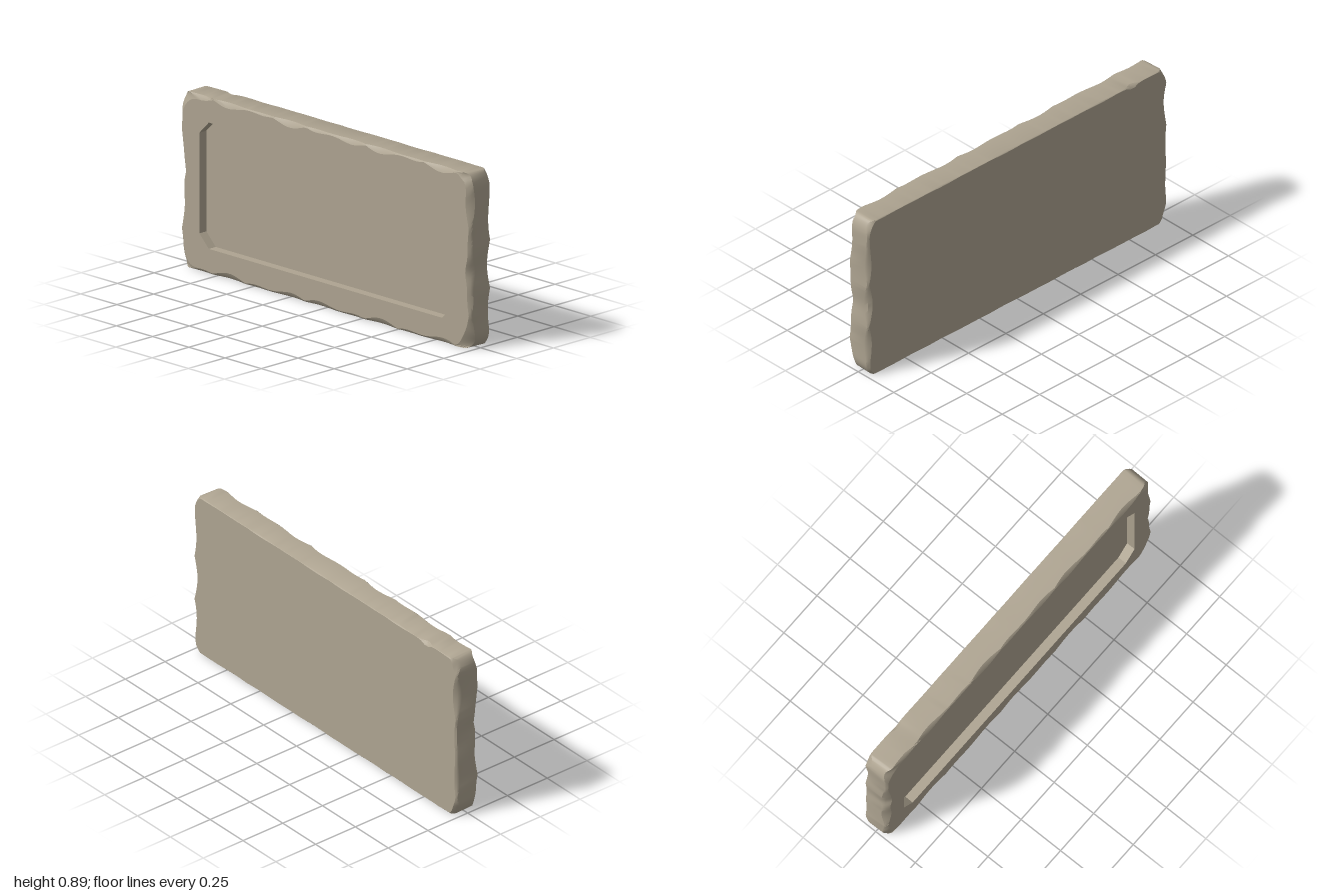
import * as THREE from 'three';
import { toCreasedNormals } from 'three/addons/utils/BufferGeometryUtils.js';

// Built with X along the slab, Y up and Z through the thickness (recess on +Z), then turned.
const HALF_L = 1, HALF_H = 0.445, HALF_T = 0.07;
const V3 = (x, y, z) => new THREE.Vector3(x, y, z);

// Rounded rectangle, counter-clockwise, always the same point count; each point has its normal.
function outline(rx, ry) {
  const pts = [];
  const arc = 10;
  const signs = [[1, 1], [-1, 1], [-1, -1], [1, -1]];
  const corner = (k, a) => {
    const [sx, sy] = signs[k % 4];
    const ang = (k % 4) * Math.PI / 2 + a;
    const nx = Math.cos(ang), ny = Math.sin(ang);
    return { x: sx * (HALF_L - rx) + rx * nx, y: HALF_H + sy * (HALF_H - ry) + ry * ny, nx, ny };
  };
  for (let k = 0; k < 4; k++) {
    for (let i = 0; i <= arc; i++) pts.push(corner(k, (i / arc) * Math.PI / 2));
    const a = corner(k, Math.PI / 2), b = corner(k + 1, 0);
    const n = k % 2 === 0 ? 70 : 32;
    for (let i = 1; i < n; i++) {
      const t = i / n;
      pts.push({ x: a.x + (b.x - a.x) * t, y: a.y + (b.y - a.y) * t, nx: a.nx, ny: a.ny });
    }
  }
  return pts;
}

// Skin between rings of equal length; faces point outwards when rings run from +Z to -Z.
function loft(rings) {
  const pos = [];
  const n = rings[0].length;
  for (let k = 0; k < rings.length - 1; k++) {
    for (let i = 0; i < n; i++) {
      const j = (i + 1) % n;
      const a = rings[k][i], b = rings[k + 1][i], c = rings[k + 1][j], d = rings[k][j];
      for (const p of [a, b, c, a, c, d]) pos.push(p.x, p.y, p.z);
    }
  }
  const g = new THREE.BufferGeometry();
  g.setAttribute('position', new THREE.Float32BufferAttribute(pos, 3));
  return g;
}

// Scalloped wear, 0..1, varying along the rim
const chips = (p, seed) => Math.abs(
  0.6 * Math.sin(9 * p.x + 10 * p.y + seed) + 0.4 * Math.sin(21 * p.x - 17 * p.y + seed * 2.3));
const bump = (v, centre, width) => Math.exp(-(((v - centre) / width) ** 2));

function wear(p) {
  const end = Math.abs(p.nx);                       // 1 on the short ends, 0 on the long edges
  const corner = 4 * p.nx * p.nx * p.ny * p.ny;
  const notch = end * bump(p.y, p.x > 0 ? 0.39 : 0.46, 0.06);
  const mix = (a, b) => a + (b - a) * end;
  const a = chips(p, 1.3), b = chips(p, 4.1);
  const backChip = bump(p.x, -0.77, 0.03) * (p.ny > 0.5 ? 0.018 : 0);
  return {
    frontInset: mix(0.004, 0.01) + mix(0.026, 0.025) * a + 0.02 * notch,
    frontDrop: mix(0.004, 0.012) + mix(0.014, 0.022) * a + 0.025 * notch + 0.012 * corner,
    backInset: mix(0.001, 0.008) + mix(0.004, 0.022) * b + backChip,
    backDrop: mix(0.002, 0.006) + mix(0.005, 0.03) * b + 0.015 * corner + backChip,
    sideInset: 0.006 * notch,
  };
}

export function createModel() {
  const group = new THREE.Group();
  group.name = 'stoneSlab';
  const material = new THREE.MeshStandardMaterial({ color: 0xaea491 });
  const add = (name, geometry) => {
    const mesh = new THREE.Mesh(geometry, material);
    mesh.name = name;
    group.add(mesh);
  };

  // Rings of the worn rim, from the recessed face to the plain face
  const ring = (rx, ry, place) => outline(rx, ry).map((p) => {
    const [inset, z] = place(wear(p));
    return V3(p.x - p.nx * inset, p.y - p.ny * inset, z);
  });
  const frontRing = ring(0.12, 0.13, (w) => [w.frontInset, HALF_T]);
  const backRing = ring(0.055, 0.09, (w) => [w.backInset, -HALF_T]);
  const rim = loft([
    frontRing,
    ring(0.085, 0.11, (w) => [w.frontInset * 0.4, HALF_T - w.frontDrop * 0.45]),
    ring(0.05, 0.09, (w) => [w.sideInset, HALF_T - w.frontDrop]),
    ring(0.045, 0.08, (w) => [w.sideInset, -HALF_T + w.backDrop]),
    ring(0.05, 0.085, (w) => [w.backInset * 0.4, -HALF_T + w.backDrop * 0.4]),
    backRing,
  ]);
  add('wornRim', toCreasedNormals(rim, 0.6));

  // Recess: a rectangle with clipped corners
  const a = 0.87, b = 0.32, c = 0.065, depth = 0.047;
  const recess = [[a, b - c], [a - c, b], [c - a, b], [-a, b - c],
    [-a, c - b], [c - a, -b], [a - c, -b], [a, c - b]]
    .map(([x, y]) => new THREE.Vector2(x, y + HALF_H));
  const atZ = (z) => recess.map((p) => V3(p.x, p.y, z));
  const walls = loft([atZ(HALF_T - depth), atZ(HALF_T)]);
  walls.computeVertexNormals();
  add('recessWalls', walls);
  add('recessFloor', new THREE.ShapeGeometry(new THREE.Shape(recess)).translate(0, 0, HALF_T - depth));

  // Flat faces
  const flat = (pts) => new THREE.Shape(pts.map((p) => new THREE.Vector2(p.x, p.y)));
  const frame = flat(frontRing);
  frame.holes.push(new THREE.Path(recess));
  add('recessFrame', new THREE.ShapeGeometry(frame).translate(0, 0, HALF_T));

  const mirrored = flat(backRing.map((p) => V3(-p.x, p.y, 0)).reverse());
  add('plainFace', new THREE.ShapeGeometry(mirrored).rotateY(Math.PI).translate(0, 0, -HALF_T));

  // Turn so the slab runs along z with the recess on -x
  group.rotation.y = -Math.PI / 2;
  const model = new THREE.Group();
  model.name = 'slab';
  model.add(group);
  return model;
}
